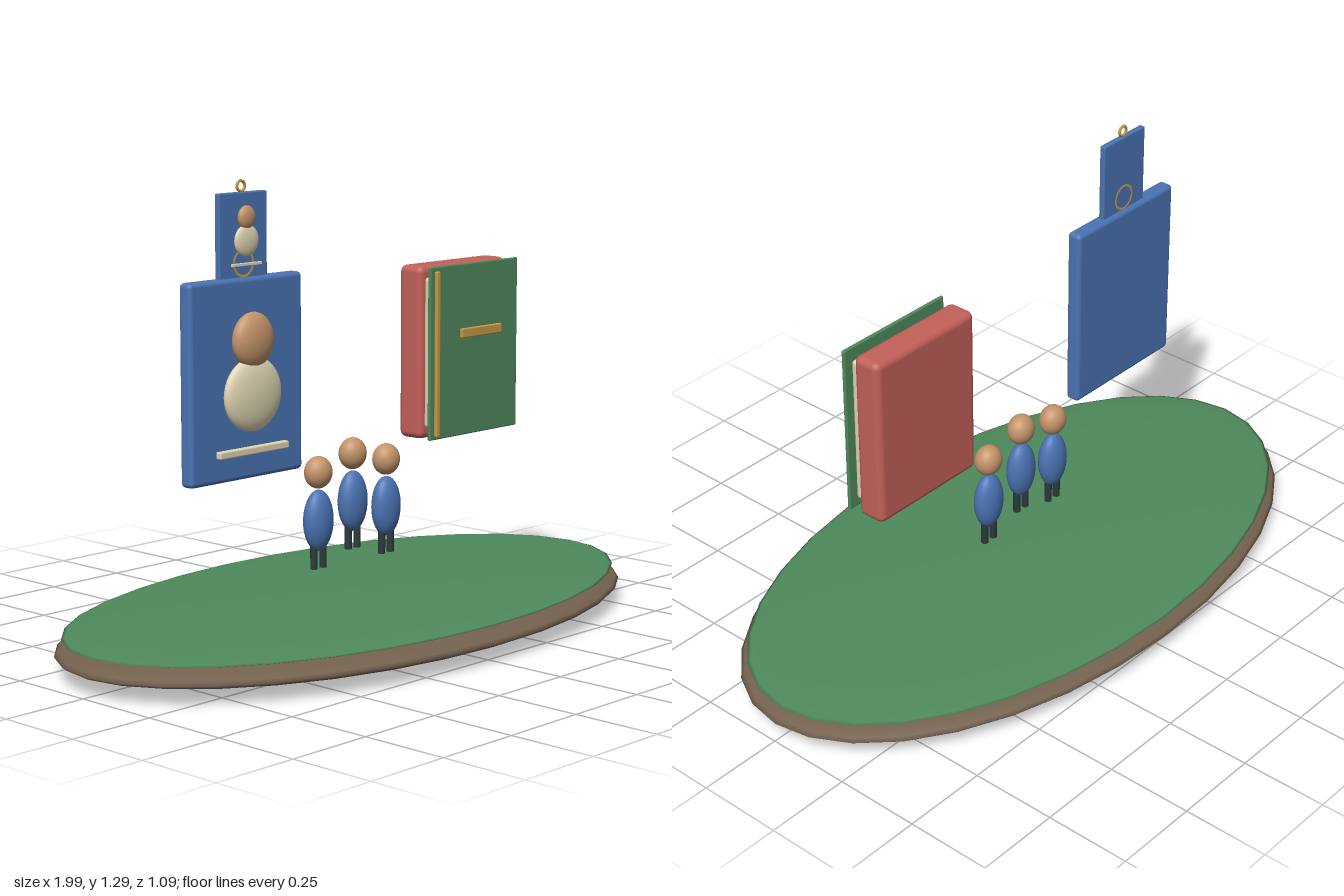
import * as THREE from 'three';
import { RoundedBoxGeometry } from 'three/addons/geometries/RoundedBoxGeometry.js';

const COLORS = {
  green: 0x4f8a5c, brown: 0x75624f, blue: 0x4a74b4, skin: 0xc4946a,
  cream: 0xe0d6b4, red: 0xc4605a, gold: 0xc89a45, dark: 0x2c3a3a,
};
const mats = {};
const mat = (c) => (mats[c] ??= new THREE.MeshStandardMaterial({ color: COLORS[c] }));

function add(parent, name, geometry, color, x, y, z) {
  const mesh = new THREE.Mesh(geometry, mat(color));
  mesh.name = name;
  mesh.position.set(x, y, z);
  parent.add(mesh);
  return mesh;
}

function group(parent, name, x, y, z) {
  const g = new THREE.Group();
  g.name = name;
  g.position.set(x, y, z);
  parent.add(g);
  return g;
}

const ellipsoid = (rx, ry, rz, ws = 32, hs = 20) => new THREE.SphereGeometry(1, ws, hs).scale(rx, ry, rz);
const slab = (w, h, d, r) => new RoundedBoxGeometry(w, h, d, 3, r);

// Raised portrait: head, shoulders and a caption bar
function portrait(parent, name, x, y, z, s) {
  const g = group(parent, name, x, y, z);
  g.scale.setScalar(s);
  add(g, 'portraitHead', ellipsoid(0.07, 0.075, 0.035), 'skin', 0, 0.145, 0.002);
  add(g, 'portraitBody', ellipsoid(0.103, 0.1, 0.03), 'cream', 0, 0, 0);
  add(g, 'captionBar', slab(0.255, 0.02, 0.02, 0.004), 'cream', 0, -0.15, 0);
}

// Standing figure with two legs
function figure(parent, name, x, y) {
  const g = group(parent, name, x, y, 0);
  add(g, 'head', ellipsoid(0.042, 0.045, 0.037), 'skin', 0, 0.27, 0);
  add(g, 'body', ellipsoid(0.049, 0.086, 0.035), 'blue', 0, 0.135, 0);
  for (const s of [-1, 1]) {
    add(g, s > 0 ? 'leftLeg' : 'rightLeg', new THREE.CylinderGeometry(0.0105, 0.0105, 0.095, 12), 'dark', s * 0.018, 0.0475, 0);
  }
}

export function createModel() {
  const root = new THREE.Group();
  root.name = 'displayIsland';

  // Lens-shaped ground with a grass layer
  add(root, 'earthBase', ellipsoid(0.995, 0.056, 0.545), 'brown', 0, 0.06, 0);
  add(root, 'grassTop', ellipsoid(0.975, 0.019, 0.525), 'green', 0, 0.104, 0);

  // Large portrait card
  const card = group(root, 'portraitCard', -0.428, 0, 0);
  add(card, 'cardPanel', slab(0.416, 0.54, 0.045, 0.013), 'blue', 0, 0.766, 0);
  portrait(card, 'cardPortrait', 0, 0.727, 0.04, 1);

  // Small hanging tag above the card
  const tag = group(root, 'hangingTag', -0.428, 0, 0);
  add(tag, 'tagPanel', slab(0.176, 0.235, 0.018, 0.004), 'blue', 0, 1.143, 0);
  portrait(tag, 'tagPortrait', 0, 1.134, 0.02, 0.42);
  add(tag, 'hangingRing', new THREE.TorusGeometry(0.014, 0.004, 8, 24), 'gold', 0, 1.276, 0);
  add(tag, 'inlaidRing', new THREE.TorusGeometry(0.035, 0.0105, 8, 32), 'gold', 0, 1.073, 0).scale.z = 1;

  // Book: back block, pages, front cover and gilt trim
  const book = group(root, 'book', 0.424, 0.765, 0);
  add(book, 'bookBlock', slab(0.376, 0.495, 0.086, 0.02), 'red', 0, 0, -0.002);
  add(book, 'pages', slab(0.34, 0.43, 0.03, 0.01), 'cream', 0, 0, 0.051);
  add(book, 'frontCover', slab(0.38, 0.494, 0.011, 0.004), 'green', 0, 0.001, 0.0745);
  add(book, 'spineTrim', slab(0.016, 0.472, 0.012, 0.004), 'gold', -0.17, 0, 0.089);
  add(book, 'titleBar', slab(0.174, 0.028, 0.012, 0.004), 'gold', 0.022, 0.05, 0.086);

  // Row of three figures
  [-0.138, 0, 0.138].forEach((x, i) => figure(root, 'figure' + (i + 1), x, i === 1 ? 0.236 : 0.201));

  return root;
}
